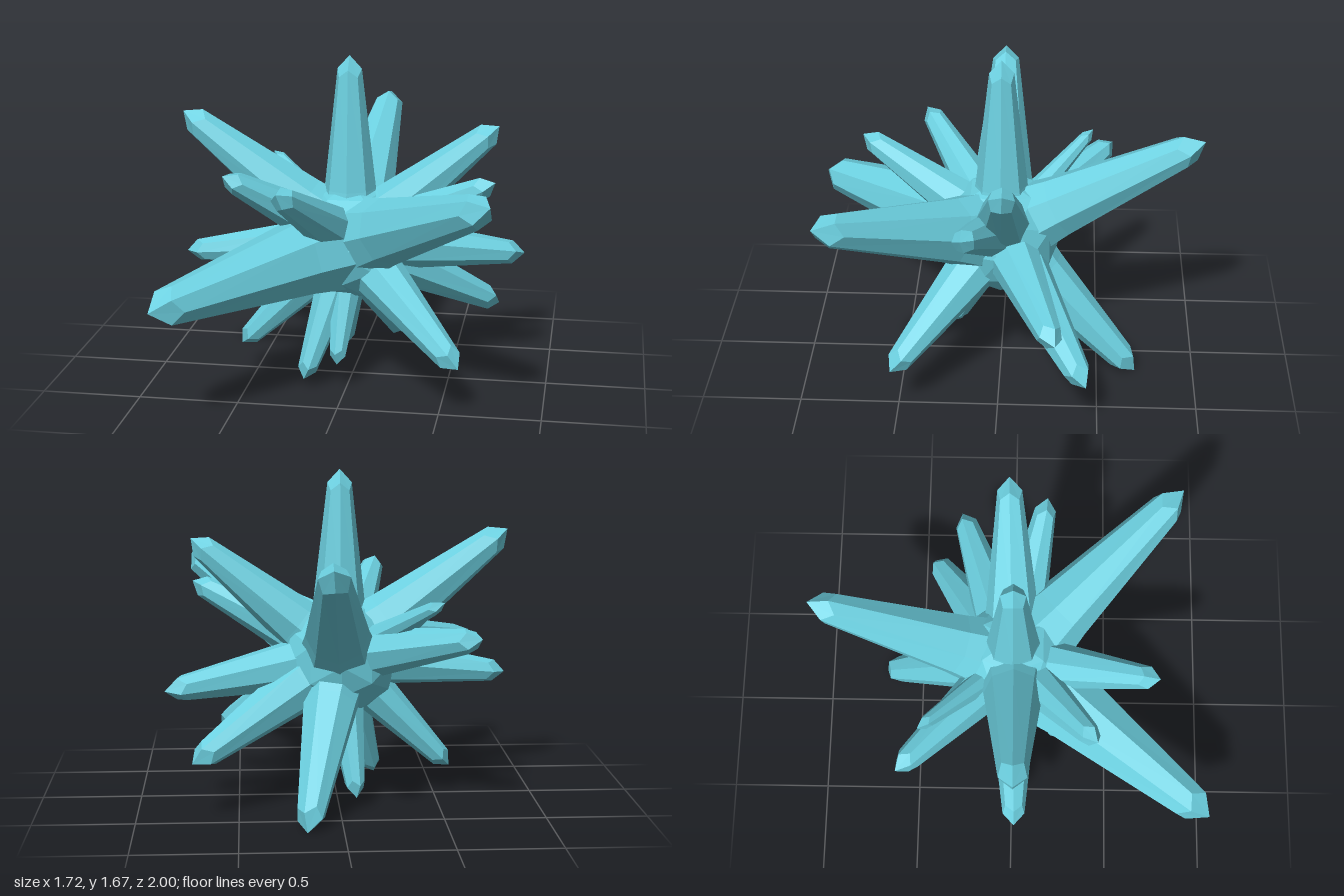
import * as THREE from 'three';

const CENTRE = new THREE.Vector3(-0.01, 0.72, 0);

// Tip position of every spike, with an optional width factor
const TIPS = [
  // upper spikes
  [-0.015, 1.67, 0], [0.065, 1.29, -1.0], [-0.865, 1.365, 0.01], [0.73, 1.33, -0.03],
  [-0.575, 1.135, 0.415], [-0.25, 1.135, 0.72], [0.755, 1.15, 0.85], [0.73, 1.09, 0.165],
  [-0.495, 1.06, -0.46, 0.65],
  // middle spikes
  [-0.665, 0.9, -0.57], [-0.86, 0.63, 0.015], [-0.8, 0.62, 1.0, 1.1], [0.86, 0.605, -0.285],
  // lower spikes
  [-0.58, 0.14, 0.02], [-0.21, 0.05, 0.26], [-0.085, 0.055, -0.29], [-0.04, 0.14, 0.265],
  [0.175, 0, -0.7], [0.595, 0.25, 0.53], [0.725, 0.275, -0.44],
];

// Tapered eight-sided crystal along +y, with a faceted four-quad point
function spikeGeometry(length, width) {
  const profile = [[0.165, 0.14], [0.138, 0.29], [0.07, 0.89], [0, 1]]
    .map(([r, h]) => new THREE.Vector2(r * length * width, h * length));
  const geometry = new THREE.LatheGeometry(profile, 8);
  const pos = geometry.attributes.position;
  const ring = profile.length;
  // raise every other corner of the shoulder
  for (let side = 0; side <= 8; side += 2) {
    const i = side * ring + 2;
    pos.setXYZ(i, pos.getX(i) * 0.92, 0.93 * length, pos.getZ(i) * 0.92);
  }
  geometry.computeVertexNormals();
  return geometry;
}

export function createModel() {
  const model = new THREE.Group();
  model.name = 'spikyBall';
  const material = new THREE.MeshStandardMaterial({ color: 0x6cd0e0 });
  material.flatShading = true;

  // Faceted core
  const core = new THREE.Mesh(new THREE.IcosahedronGeometry(0.305, 1), material);
  core.name = 'core';
  core.position.copy(CENTRE);
  model.add(core);

  // Spikes radiating from the core
  const up = new THREE.Vector3(0, 1, 0);
  const spikes = new THREE.Group();
  spikes.name = 'spikes';
  TIPS.forEach(([x, y, z, width = 1], i) => {
    const axis = new THREE.Vector3(x, y, z).sub(CENTRE);
    const spike = new THREE.Mesh(spikeGeometry(axis.length(), width), material);
    spike.name = `spike${i + 1}`;
    spike.position.copy(CENTRE);
    spike.quaternion.setFromUnitVectors(up, axis.normalize());
    spikes.add(spike);
  });
  model.add(spikes);
  return model;
}
